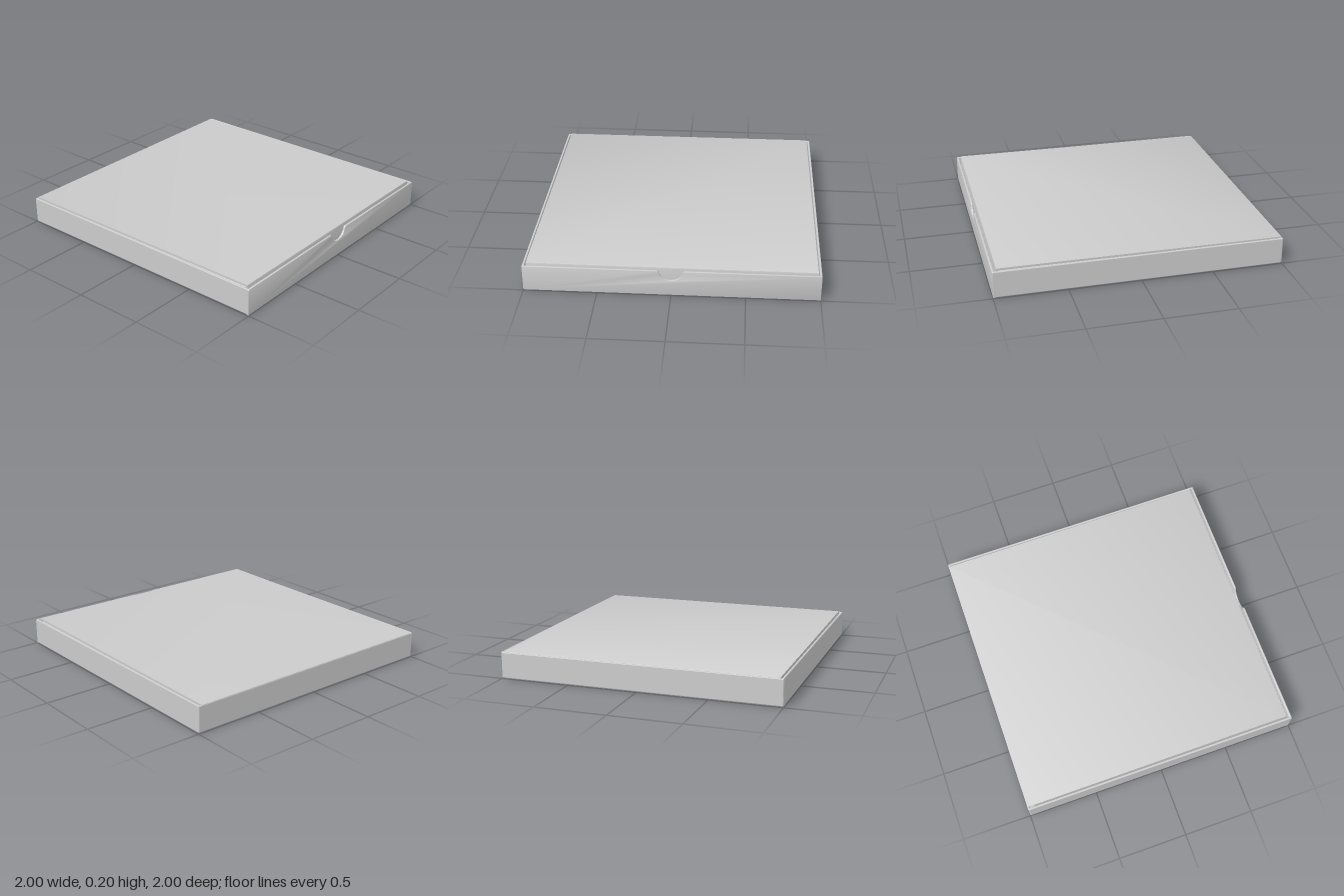
import * as THREE from 'three';
import { RoundedBoxGeometry } from 'three/addons/geometries/RoundedBoxGeometry.js';
import { toCreasedNormals } from 'three/addons/utils/BufferGeometryUtils.js';

const material = new THREE.MeshStandardMaterial({ color: 0xcccccc });
const T = 0.016; // board thickness

function addMesh(group, name, geometry, x = 0, y = 0, z = 0) {
  const mesh = new THREE.Mesh(geometry, material);
  mesh.name = name;
  mesh.position.set(x, y, z);
  group.add(mesh);
  return mesh;
}

const board = (w, h, d) => new RoundedBoxGeometry(w, h, d, 2, 0.006);

// Front wall outline with a half-round thumb notch in the top edge
function frontWallGeometry() {
  const b = 0.004, w = 1 - b, bottom = 0.004 + b, top = 0.192 - b;
  const s = new THREE.Shape();
  s.moveTo(-w, bottom);
  s.lineTo(w, bottom);
  s.lineTo(w, top - 0.004);
  s.lineTo(w - 0.006, top);
  s.lineTo(0.094, top);
  s.quadraticCurveTo(0.086, top, 0.083, top - 0.012);
  s.bezierCurveTo(0.062, 0.094, -0.062, 0.094, -0.083, top - 0.012);
  s.quadraticCurveTo(-0.086, top, -0.094, top);
  s.lineTo(-w + 0.006, top);
  s.lineTo(-w, top - 0.004);
  const geo = new THREE.ExtrudeGeometry(s, {
    depth: T - 2 * b, bevelThickness: b, bevelSize: b, bevelSegments: 2, curveSegments: 20,
  });
  geo.translate(0, 0, b);
  return toCreasedNormals(geo, 0.6);
}

// Lid panel and front tuck flap: one folded strip, drawn as (z, y) and swept along x
function lidGeometry() {
  const points = [
    [-0.999, 0.181], [-0.998, 0.19], [-0.99, 0.195], [0.958, 0.204], [0.967, 0.201],
    [0.97, 0.192], [0.97, 0.025], [0.955, 0.025], [0.955, 0.189], [-0.985, 0.181],
  ];
  const shape = new THREE.Shape(points.map(([z, y]) => new THREE.Vector2(z, y)));
  const geo = new THREE.ExtrudeGeometry(shape, { depth: 1.95, bevelEnabled: false });
  geo.translate(0, 0, -0.975);
  geo.rotateY(-Math.PI / 2);
  return toCreasedNormals(geo, 0.6);
}

export function createModel() {
  const box = new THREE.Group();
  box.name = 'flatBox';

  // Tray
  const tray = new THREE.Group();
  tray.name = 'tray';
  box.add(tray);
  addMesh(tray, 'floor', board(1.976, T, 1.984), 0, T / 2, 0);
  addMesh(tray, 'frontWall', frontWallGeometry(), 0, 0, 1 - T);
  addMesh(tray, 'backWall', board(1.996, 0.184, T), 0, 0.097, -1 + T / 2);
  for (const side of [-1, 1]) {
    const name = side > 0 ? 'left' : 'right';
    addMesh(tray, name + 'Wall', board(T, 0.187, 1.99), side * (1 - T / 2), 0.0985, 0);
  }

  // Closed lid with flaps tucked inside the tray
  const lid = new THREE.Group();
  lid.name = 'lid';
  box.add(lid);
  addMesh(lid, 'lidPanel', lidGeometry());
  for (const side of [-1, 1]) {
    const name = side > 0 ? 'left' : 'right';
    addMesh(lid, name + 'Flap', board(0.014, 0.16, 1.9), side * 0.967, 0.105, 0);
  }
  return box;
}
